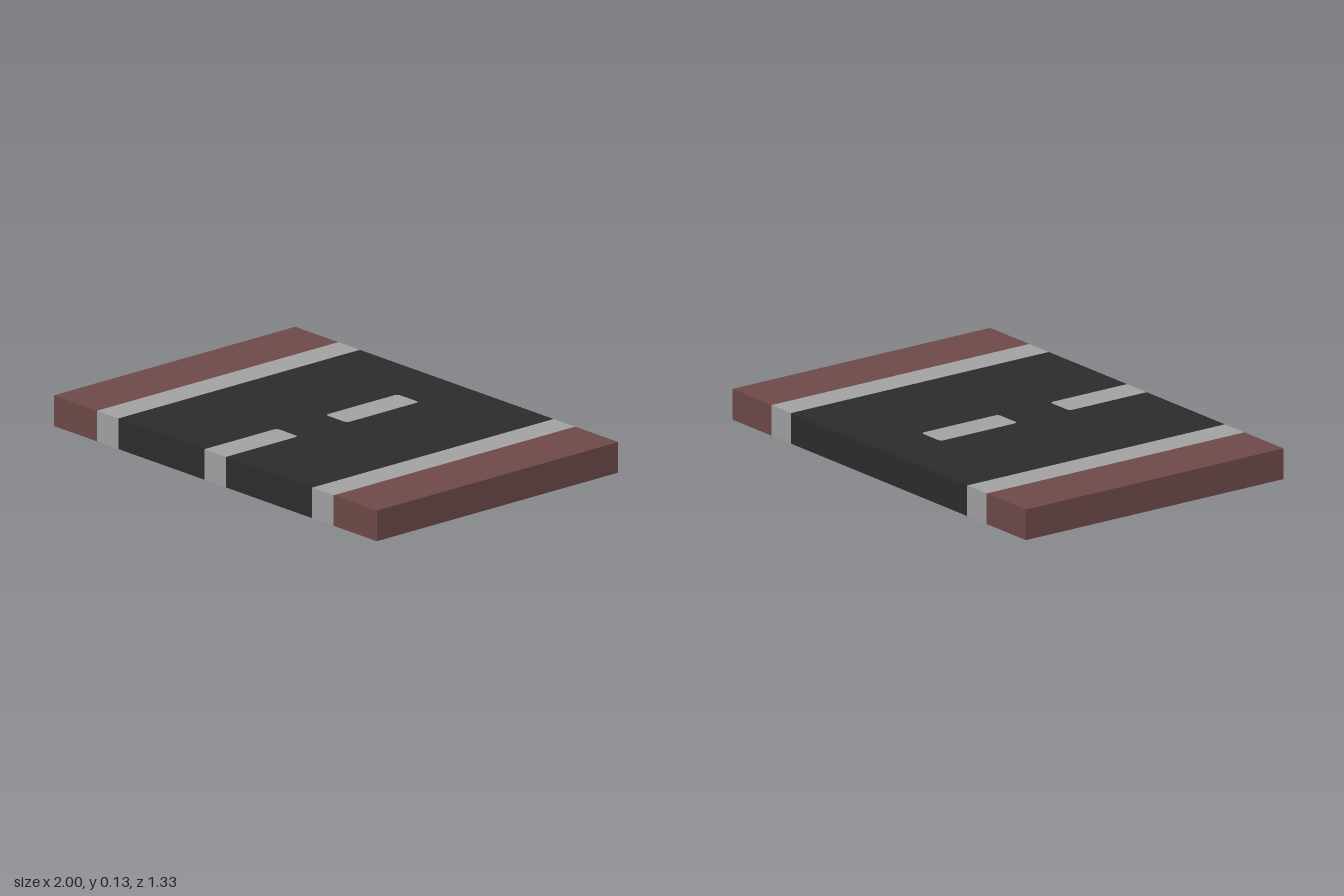
import * as THREE from 'three';

const HEIGHT = 0.133, HALF_X = 1, HALF_Z = 0.667;
const ROAD_X = 0.6, KERB_X = 0.733; // outer edges of the asphalt and of the edge lines
const DASH_X = 0.067, R = 0.02;

export function createModel() {
  const group = new THREE.Group();
  const paving = new THREE.MeshStandardMaterial({ name: 'brownPaving', color: 0x6f4b4a });
  const line = new THREE.MeshStandardMaterial({ name: 'greyLine', color: 0xa5a5a5 });
  const asphalt = new THREE.MeshStandardMaterial({ name: 'darkAsphalt', color: 0x2d2d2d });

  // Extrudes a plan outline (x, -z) upwards through the full slab height
  function addSlab(name, shape, material) {
    const geometry = new THREE.ExtrudeGeometry(shape, { depth: HEIGHT, bevelEnabled: false, curveSegments: 5 });
    geometry.rotateX(-Math.PI / 2);
    const mesh = new THREE.Mesh(geometry, material);
    mesh.name = name;
    group.add(mesh);
  }

  const rectangle = (x0, x1) => new THREE.Shape([
    new THREE.Vector2(x0, -HALF_Z), new THREE.Vector2(x1, -HALF_Z),
    new THREE.Vector2(x1, HALF_Z), new THREE.Vector2(x0, HALF_Z),
  ]);

  // Rounded back end of a dash, drawn from its right side to its left side
  function dashBack(path, y) {
    path.lineTo(DASH_X, y - R);
    path.quadraticCurveTo(DASH_X, y, DASH_X - R, y);
    path.lineTo(-DASH_X + R, y);
    path.quadraticCurveTo(-DASH_X, y, -DASH_X, y - R);
  }

  // Dash in the middle of the road, rounded at both ends
  function middleDash(path) {
    path.moveTo(-DASH_X + R, 0);
    path.lineTo(DASH_X - R, 0);
    path.quadraticCurveTo(DASH_X, 0, DASH_X, R);
    dashBack(path, 0.4);
    path.lineTo(-DASH_X, R);
    path.quadraticCurveTo(-DASH_X, 0, -DASH_X + R, 0);
    return path;
  }

  // Dash cut square by the front edge
  const frontDash = new THREE.Shape();
  frontDash.moveTo(-DASH_X, -HALF_Z);
  frontDash.lineTo(DASH_X, -HALF_Z);
  dashBack(frontDash, -0.267);
  frontDash.closePath();

  // Asphalt with a notch and a hole for the two dashes
  const road = new THREE.Shape();
  road.moveTo(-ROAD_X, -HALF_Z);
  road.lineTo(-ROAD_X, HALF_Z);
  road.lineTo(ROAD_X, HALF_Z);
  road.lineTo(ROAD_X, -HALF_Z);
  road.lineTo(DASH_X, -HALF_Z);
  dashBack(road, -0.267);
  road.lineTo(-DASH_X, -HALF_Z);
  road.closePath();
  road.holes.push(middleDash(new THREE.Path()));

  addSlab('roadSurface', road, asphalt);
  addSlab('frontDash', frontDash, line);
  addSlab('middleDash', middleDash(new THREE.Shape()), line);

  // Edge lines and pavements on both sides
  addSlab('leftEdgeLine', rectangle(ROAD_X, KERB_X), line);
  addSlab('rightEdgeLine', rectangle(-KERB_X, -ROAD_X), line);
  addSlab('leftPavement', rectangle(KERB_X, HALF_X), paving);
  addSlab('rightPavement', rectangle(-HALF_X, -KERB_X), paving);

  return group;
}
